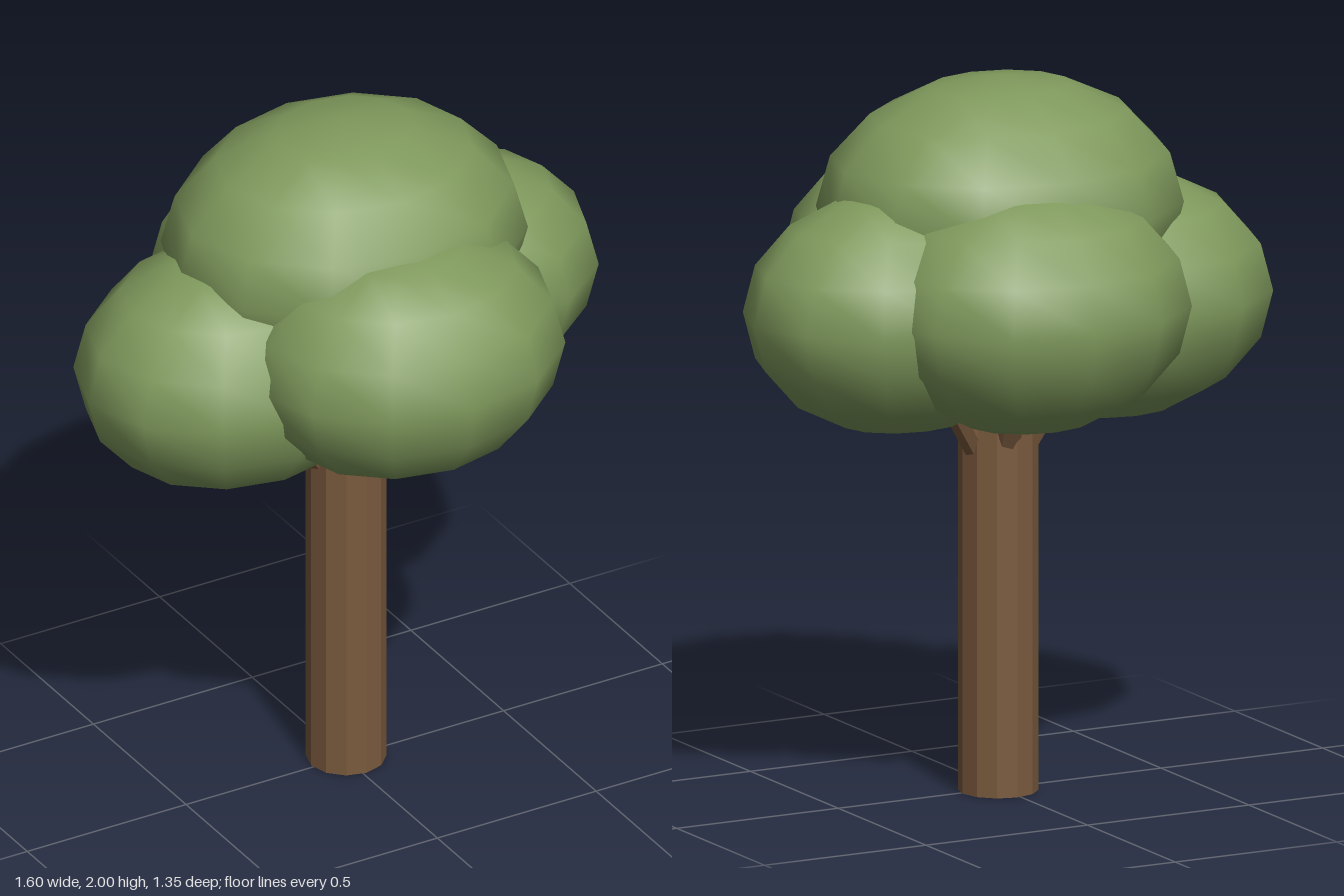
import * as THREE from 'three';

export function createModel() {
  const tree = new THREE.Group();
  tree.name = 'tree';
  const bark = new THREE.MeshStandardMaterial({ color: 0x7a5a3d, flatShading: true });
  bark.name = 'bark brown';
  const leaf = new THREE.MeshStandardMaterial({ color: 0x7f995c });
  leaf.name = 'leaf green';

  const add = (name, geometry, material) => {
    const mesh = new THREE.Mesh(geometry, material);
    mesh.name = name;
    tree.add(mesh);
    return mesh;
  };

  // Straight trunk, its top hidden inside the crown
  add('trunk', new THREE.CylinderGeometry(0.11, 0.11, 1.4, 12), bark).position.set(0.01, 0.7, -0.01);

  // Squashed leaf clumps: name, centre, radii
  const clumps = [
    ['top', [0.01, 1.64, -0.02], [0.52, 0.36, 0.44]],
    ['right', [-0.34, 1.35, -0.01], [0.46, 0.342, 0.38]],
    ['left', [0.34, 1.393, -0.075], [0.46, 0.34, 0.36]],
    ['front', [0.015, 1.433, 0.29], [0.46, 0.345, 0.385]],
    ['back', [0.065, 1.41, -0.29], [0.46, 0.345, 0.385]],
  ];
  const ball = new THREE.SphereGeometry(1, 12, 8);
  const fork = new THREE.Vector3(0.01, 0.85, -0.01);
  const up = new THREE.Vector3(0, 1, 0);

  for (const [side, centre, radii] of clumps) {
    const clump = add(side + 'Foliage', ball, leaf);
    clump.position.set(...centre);
    clump.scale.set(...radii);
    if (side === 'top') continue;

    // Branch from the trunk into each side clump
    const axis = new THREE.Vector3(...centre).sub(fork);
    const length = axis.length();
    const branch = add(side + 'Branch', new THREE.CylinderGeometry(0.04, 0.04, length, 8), bark);
    branch.position.copy(fork).addScaledVector(axis, 0.5);
    branch.quaternion.setFromUnitVectors(up, axis.normalize());
  }
  return tree;
}
